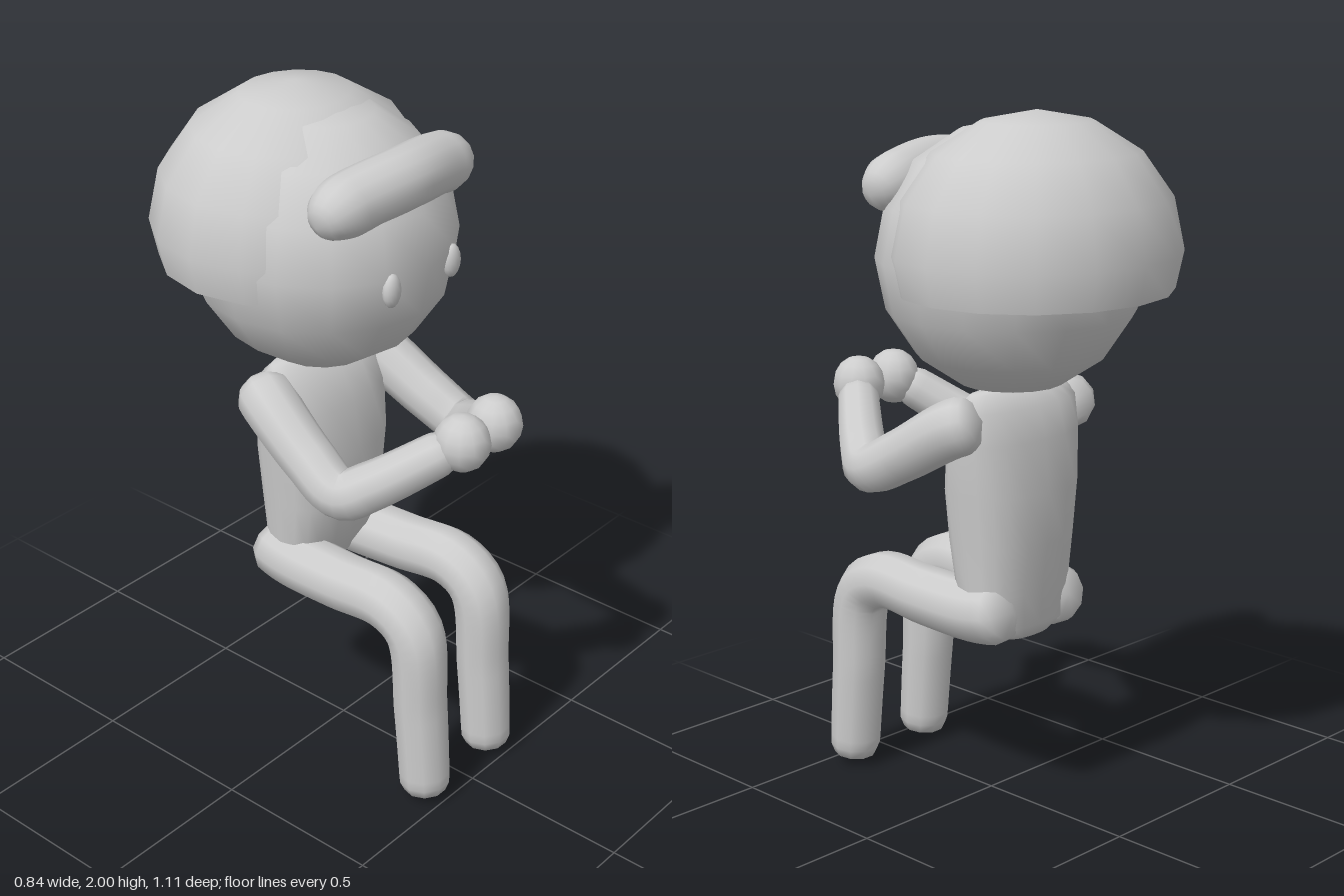
import * as THREE from 'three';
import { mergeVertices } from 'three/addons/utils/BufferGeometryUtils.js';

// DoubleSide because the hair shell is open underneath
const clay = new THREE.MeshStandardMaterial({ name: 'paleGrey', color: 0xcccccc, side: THREE.DoubleSide });

function part(name, geometry) {
  const mesh = new THREE.Mesh(geometry, clay);
  mesh.name = name;
  return mesh;
}

// Weld seams so shading is continuous
function smooth(geometry) {
  geometry.deleteAttribute('uv');
  geometry.deleteAttribute('normal');
  const g = mergeVertices(geometry, 1e-5);
  g.computeVertexNormals();
  return g;
}

function ball(name, centre, radii, across = 16, down = 8) {
  const g = new THREE.SphereGeometry(1, across, down);
  g.scale(...radii);
  g.translate(...centre);
  return part(name, g);
}

// Tube along a smooth path, tapering from r0 to r1, with rounded ends
function limb(name, points, r0, r1, cap, sides = 10) {
  const curve = new THREE.CatmullRomCurve3(points.map((p) => new THREE.Vector3(...p)));
  const steps = 40;
  const length = curve.getLength();
  const g = new THREE.TubeGeometry(curve, steps, 1, sides);
  const pos = g.attributes.position;
  const v = new THREE.Vector3();
  for (let i = 0; i < pos.count; i++) {
    const u = Math.floor(i / (sides + 1)) / steps;
    const t = Math.max(0, 1 - (Math.min(u, 1 - u) * length) / cap);
    const r = (r0 + (r1 - r0) * u) * Math.sqrt(Math.max(0, 1 - t * t));
    const c = curve.getPointAt(u);
    v.fromBufferAttribute(pos, i).sub(c).multiplyScalar(r).add(c);
    pos.setXYZ(i, v.x, v.y, v.z);
  }
  return part(name, smooth(g));
}

// Torso: rounded-box cross-sections as [y, half width, half depth, centre z]
function torso() {
  const rows = [
    [0.515, 0, 0, -0.12],
    [0.52, 0.09, 0.05, -0.12],
    [0.56, 0.165, 0.085, -0.11],
    [0.66, 0.18, 0.115, -0.085],
    [0.8, 0.187, 0.14, -0.08],
    [0.95, 0.205, 0.143, -0.08],
    [1.1, 0.215, 0.125, -0.085],
    [1.19, 0.215, 0.09, -0.095],
    [1.235, 0.18, 0.04, -0.1],
    [1.238, 0, 0, -0.1],
  ];
  const g = new THREE.LatheGeometry(rows.map((r) => new THREE.Vector2(1, r[0])), 20);
  const pos = g.attributes.position;
  const square = (n) => Math.sign(n) * Math.pow(Math.abs(n), 0.8);
  for (let i = 0; i < pos.count; i++) {
    const [y, w, d, z] = rows[i % rows.length];
    pos.setXYZ(i, square(pos.getX(i)) * w, y, square(pos.getZ(i)) * d + z);
  }
  return part('torso', smooth(g));
}

// Hair: faceted dome cut flat just below its widest ring
function hairCap() {
  const profile = [new THREE.Vector2(0.945, -0.276)];
  for (let i = 0; i <= 4; i++) {
    const a = (i * Math.PI) / 8;
    profile.push(new THREE.Vector2(i === 4 ? 0 : Math.cos(a), Math.sin(a)));
  }
  const g = new THREE.LatheGeometry(profile, 16);
  g.scale(0.42, 0.38, 0.388);
  g.translate(0, 1.62, -0.17);
  return part('hairCap', smooth(g));
}

export function createModel() {
  const model = new THREE.Group();
  model.name = 'seatedFigure';

  model.add(torso());
  model.add(ball('head', [0, 1.593, -0.078], [0.375, 0.378, 0.378]));
  model.add(hairCap());
  model.add(limb('fringe', [
    [-0.3, 1.765, 0.165], [-0.2, 1.795, 0.172], [0, 1.82, 0.205],
    [0.2, 1.795, 0.172], [0.3, 1.765, 0.165],
  ], 0.085, 0.085, 0.12, 14));

  for (const [side, s] of [['left', 1], ['right', -1]]) {
    const mirror = (points) => points.map(([x, y, z]) => [x * s, y, z]);

    model.add(ball(side + 'Eye', [s * 0.125, 1.563, 0.272], [0.03, 0.048, 0.022]));

    // Arm bent forward with the hand meeting the other at the chest
    model.add(limb(side + 'Arm', mirror([
      [0.19, 1.175, -0.15], [0.225, 1.145, -0.07], [0.255, 1.045, 0.1],
      [0.265, 0.99, 0.22], [0.225, 1.025, 0.29], [0.08, 1.16, 0.47],
    ]), 0.085, 0.06, 0.07));
    model.add(ball(side + 'Hand', [s * 0.07, 1.163, 0.475], [0.075, 0.082, 0.08], 12, 8));

    // Leg seated at the hip with the shin hanging down
    model.add(limb(side + 'Leg', mirror([
      [0.115, 0.62, -0.2], [0.13, 0.6, -0.08], [0.14, 0.603, 0.12],
      [0.145, 0.612, 0.3], [0.145, 0.555, 0.385], [0.145, 0.3, 0.415], [0.145, 0.003, 0.44],
    ]), 0.092, 0.074, 0.065));
  }

  return model;
}
